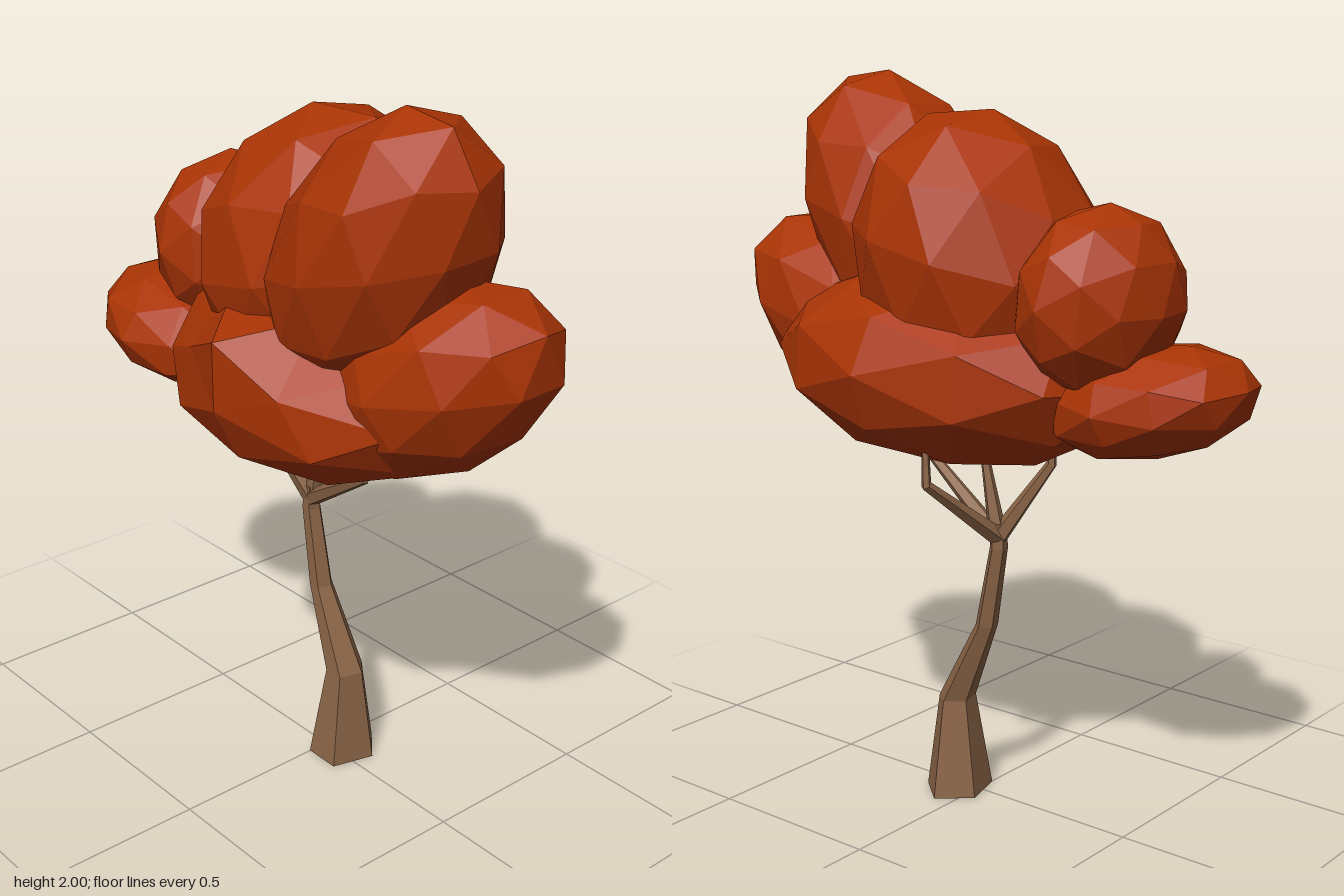
import * as THREE from 'three';

const wood = new THREE.MeshStandardMaterial({ name: 'bark brown', color: 0x8a6446, flatShading: true });
const leaf = new THREE.MeshStandardMaterial({ name: 'autumn rust', color: 0xa93405, flatShading: true });

// Faceted limb through points [x, y, z, radius]; rings lie flat or follow the path
function limb(name, points, sides, followPath, squeeze = 1) {
  const centres = points.map(p => new THREE.Vector3(p[0], p[1], p[2]));
  const up = new THREE.Vector3(0, 1, 0);
  const pos = [], index = [];
  centres.forEach((c, i) => {
    const before = centres[Math.max(i - 1, 0)];
    const after = centres[Math.min(i + 1, centres.length - 1)];
    const q = new THREE.Quaternion();
    if (followPath) q.setFromUnitVectors(up, after.clone().sub(before).normalize());
    for (let s = 0; s < sides; s++) {
      const a = Math.PI + (s / sides) * Math.PI * 2; // first corner points backwards
      const r = points[i][3];
      const v = new THREE.Vector3(Math.sin(a) * r * squeeze, 0, Math.cos(a) * r).applyQuaternion(q).add(c);
      pos.push(v.x, v.y, v.z);
    }
  });
  for (let i = 0; i < centres.length - 1; i++) {
    for (let s = 0; s < sides; s++) {
      const a = i * sides + s, b = i * sides + (s + 1) % sides;
      index.push(a, b, b + sides, a, b + sides, a + sides);
    }
  }
  // End caps
  const top = (centres.length - 1) * sides;
  for (let s = 1; s < sides - 1; s++) index.push(0, s + 1, s, top, top + s, top + s + 1);
  const geo = new THREE.BufferGeometry();
  geo.setAttribute('position', new THREE.Float32BufferAttribute(pos, 3));
  geo.setIndex(index);
  geo.computeVertexNormals();
  const mesh = new THREE.Mesh(geo, wood);
  mesh.name = name;
  return mesh;
}

// Low-poly leaf clump; each pull moves the nearest corner to a given point
function clump(name, centre, radii, turn, pulls = []) {
  const geo = new THREE.IcosahedronGeometry(1, 1);
  geo.scale(...radii);
  geo.applyMatrix4(new THREE.Matrix4().makeRotationFromEuler(new THREE.Euler(...turn)));
  geo.translate(...centre);
  const p = geo.attributes.position, v = new THREE.Vector3();
  for (const pull of pulls) {
    const target = new THREE.Vector3(...pull), nearest = new THREE.Vector3();
    let best = Infinity;
    for (let i = 0; i < p.count; i++) {
      const d = v.fromBufferAttribute(p, i).distanceTo(target);
      if (d < best) { best = d; nearest.copy(v); }
    }
    for (let i = 0; i < p.count; i++) {
      if (v.fromBufferAttribute(p, i).distanceTo(nearest) < 1e-4) p.setXYZ(i, ...pull);
    }
  }
  geo.computeVertexNormals();
  const mesh = new THREE.Mesh(geo, leaf);
  mesh.name = name;
  return mesh;
}

export function createModel() {
  const tree = new THREE.Group();
  tree.name = 'tree';

  // Bent five-sided trunk
  tree.add(limb('trunk', [
    [0.052, 0, -0.027, 0.108], [0.057, 0.275, -0.027, 0.06],
    [-0.05, 0.51, -0.027, 0.036], [-0.092, 0.74, -0.027, 0.029], [-0.09, 0.81, -0.027, 0.026],
  ], 5, false, 0.84));

  // Branches fanning out of the fork
  const branches = {
    rightBranch: [[-0.215, 0.98, 0.045], [-0.215, 1.12, 0.05]],
    leftBranch: [[0.19, 0.945, 0.03], [0.22, 1.12, 0.04]],
    backBranch: [[-0.04, 0.955, -0.265], [-0.035, 1.12, -0.265]],
    middleBranch: [[-0.055, 0.95, -0.03], [-0.02, 1.12, -0.03]],
  };
  for (const [name, [bend, tip]] of Object.entries(branches)) {
    tree.add(limb(name, [[-0.09, 0.77, -0.027, 0.027], [...bend, 0.015], [...tip, 0.009]], 5, true));
  }

  // Foliage
  tree.add(
    clump('lowerFoliage', [0.07, 1.235, 0], [0.54, 0.28, 0.43], [0.05, 0, 0.04],
      [[0.07, 1.4, 0.43], [-0.13, 1.31, 0.35], [-0.31, 1.24, 0.28], [0.26, 1.29, 0.38]]),
    clump('middleFoliage', [-0.025, 1.53, -0.02], [0.335, 0.4, 0.345], [0.05, 0.3, -0.42]),
    clump('tallFoliage', [0.31, 1.605, 0.08], [0.27, 0.45, 0.28], [0.05, 0, -0.58]),
    clump('leftFoliage', [0.45, 1.315, 0.035], [0.41, 0.24, 0.25], [0, 0.05, 0.55]),
    clump('upperRightFoliage', [-0.43, 1.45, -0.04], [0.2, 0.25, 0.25], [0, -0.1, 0.1]),
    clump('lowerRightFoliage', [-0.525, 1.195, 0.04], [0.295, 0.15, 0.26], [0, 0, -0.2]),
  );
  return tree;
}
